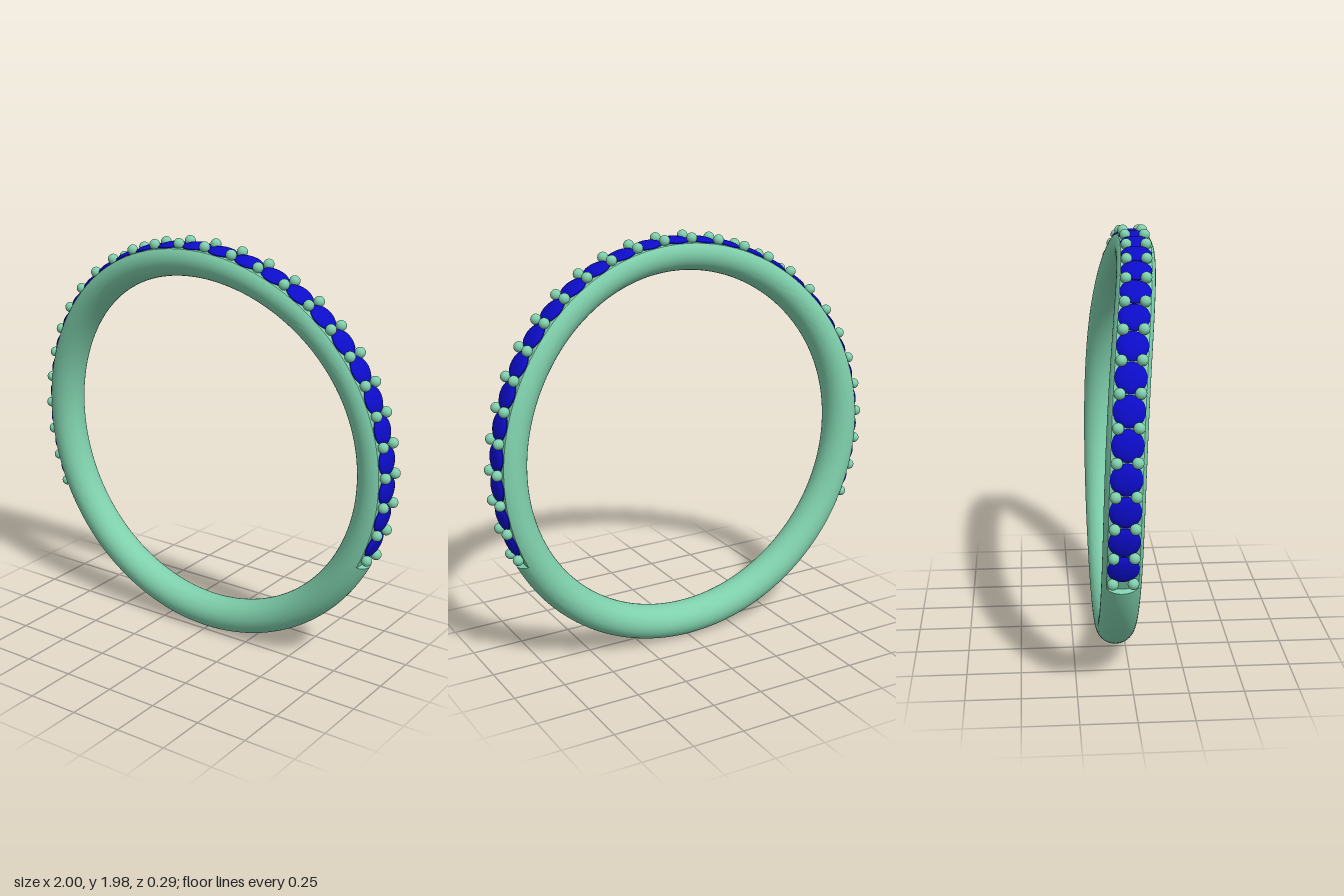
import * as THREE from 'three';
import { toCreasedNormals } from 'three/addons/utils/BufferGeometryUtils.js';

const CENTER_Y = 0.985;      // middle of the ring
const BAND_R = 0.902;        // radius of the band's centre line
const HALF_THICK = 0.083;    // radial half size of the band section
const HALF_WIDTH = 0.087;    // half width of the band along z
const SEAT_R = 0.955;        // radius of the floor the stones sit on
const SEAT_END = THREE.MathUtils.degToRad(116.3);
const STEP = THREE.MathUtils.degToRad(8.4); // angle between stones
const STONES = 27;

const metal = new THREE.MeshStandardMaterial({ color: 0x7fd0ac });
const gem = new THREE.MeshStandardMaterial({ color: 0x0c0cc8 });

// The band sweeps forward towards the top; angle 0 is the top of the ring
const bandZ = (a) => -0.058 + 0.112 * Math.pow((1 + Math.cos(a)) / 2, 3.9);

// Point at an angle round the ring, a radius, and an offset across the band
const onRing = (a, r, dz = 0) =>
  new THREE.Vector3(Math.sin(a) * r, CENTER_Y + Math.cos(a) * r, bandZ(a) + dz);

// Oval section swept round the circle, cut down to a flat seat under the stones
function bandGeometry() {
  const SIDES = 48;
  const rings = [];
  const addArc = (from, to, n, limit) => {
    for (let i = 0; i <= n; i++) rings.push([from + ((to - from) * i) / n, limit]);
  };
  addArc(-Math.PI, -SEAT_END, 36, 2);
  addArc(-SEAT_END, SEAT_END, 120, SEAT_R);
  addArc(SEAT_END, Math.PI, 36, 2);

  const positions = [];
  const index = [];
  rings.forEach(([a, limit], i) => {
    for (let j = 0; j < SIDES; j++) {
      const t = (j / SIDES) * Math.PI * 2;
      const r = Math.min(BAND_R + HALF_THICK * Math.cos(t), limit);
      positions.push(...onRing(a, r, HALF_WIDTH * Math.sin(t)).toArray());
      if (i === rings.length - 1) continue;
      const k = (j + 1) % SIDES;
      const p = i * SIDES + j, q = i * SIDES + k;
      index.push(p, q, p + SIDES, q, q + SIDES, p + SIDES);
    }
  });
  const geometry = new THREE.BufferGeometry();
  geometry.setAttribute('position', new THREE.Float32BufferAttribute(positions, 3));
  geometry.setIndex(index);
  return toCreasedNormals(geometry, 0.5);
}

// Low round stone with a gently domed top
function stoneGeometry() {
  const profile = [
    [0, -0.03], [0.067, -0.006], [0.069, 0.003], [0.06, 0.012], [0.044, 0.018], [0.022, 0.021], [0, 0.022],
  ].map(([x, y]) => new THREE.Vector2(x, y));
  return toCreasedNormals(new THREE.LatheGeometry(profile, 32), 0.6);
}

export function createModel() {
  const model = new THREE.Group();
  model.name = 'ring';

  const add = (parent, geometry, material, name) => {
    const mesh = new THREE.Mesh(geometry, material);
    mesh.name = name;
    parent.add(mesh);
    return mesh;
  };

  add(model, bandGeometry(), metal, 'band');

  // Row of stones over the upper part
  const stones = new THREE.Group();
  stones.name = 'stones';
  const stoneShape = stoneGeometry();
  for (let i = 0; i < STONES; i++) {
    const a = (i - (STONES - 1) / 2) * STEP;
    const stone = add(stones, stoneShape, gem, 'stone');
    stone.position.copy(onRing(a, SEAT_R));
    stone.rotation.z = -a;
  }
  model.add(stones);

  // Pairs of holding beads between the stones and at both ends
  const beads = new THREE.Group();
  beads.name = 'beads';
  const beadShape = new THREE.SphereGeometry(0.025, 20, 14);
  for (let i = 0; i <= STONES; i++) {
    const a = (i - STONES / 2) * STEP;
    for (const side of [-1, 1]) {
      add(beads, beadShape, metal, 'bead').position.copy(onRing(a, 0.973, side * 0.044));
    }
  }
  model.add(beads);

  return model;
}
